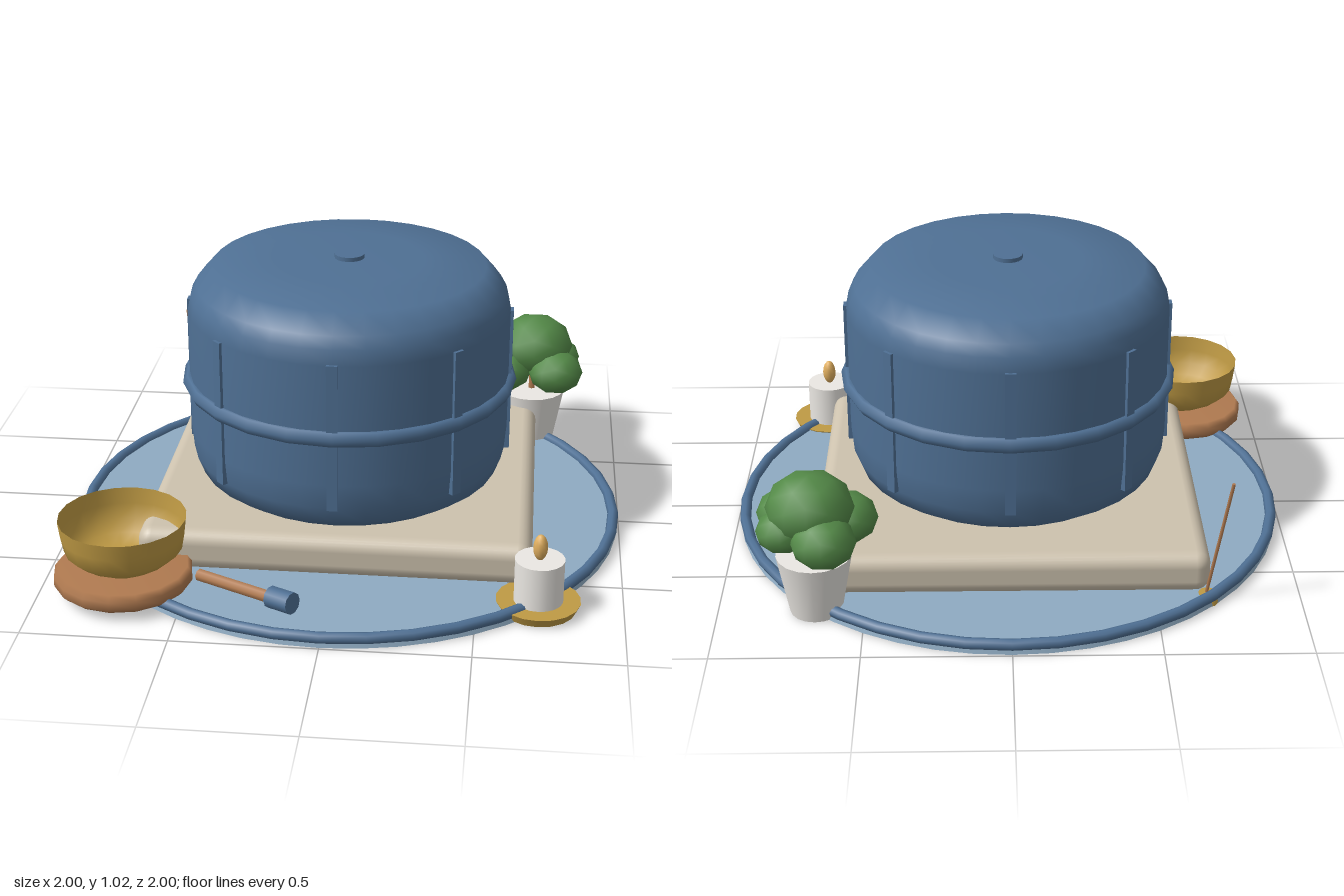
import * as THREE from 'three';
import { RoundedBoxGeometry } from 'three/addons/geometries/RoundedBoxGeometry.js';

const mat = (color, side = THREE.FrontSide) => new THREE.MeshStandardMaterial({ color, side });
const blue = mat(0x4f7094);
const paleBlue = mat(0x8fabc2);
const linen = mat(0xcdc2ae);
const gold = mat(0xbf9a44);
const goldThin = mat(0xbf9a44, THREE.DoubleSide);
const wood = mat(0xb07a50);
const white = mat(0xebe8e3);
const green = mat(0x548a48);
const flameColor = mat(0xe2b060);

export function createModel() {
  const group = new THREE.Group();

  const add = (name, geometry, material, x = 0, y = 0, z = 0) => {
    const mesh = new THREE.Mesh(geometry, material);
    mesh.name = name;
    mesh.position.set(x, y, z);
    group.add(mesh);
    return mesh;
  };
  const lathe = (points, segments) =>
    new THREE.LatheGeometry(points.map(([r, y]) => new THREE.Vector2(r, y)), segments);
  const ring = (R, tube, radial, segments) =>
    new THREE.TorusGeometry(R, tube, radial, segments).rotateX(Math.PI / 2);
  // Cylinder running between two points
  const rod = (name, a, b, r0, r1, sides, material) => {
    const from = new THREE.Vector3(...a), to = new THREE.Vector3(...b);
    const dir = to.clone().sub(from);
    const mid = from.clone().add(to).multiplyScalar(0.5);
    const mesh = add(name, new THREE.CylinderGeometry(r1, r0, dir.length(), sides), material, mid.x, mid.y, mid.z);
    mesh.quaternion.setFromUnitVectors(new THREE.Vector3(0, 1, 0), dir.normalize());
    return mesh;
  };

  // Round mat with piped edge
  add('mat', new THREE.CylinderGeometry(0.985, 0.995, 0.03, 48), paleBlue, 0, 0.015, 0);
  add('matPiping', ring(0.98, 0.02, 8, 40), blue, 0, 0.03, 0);

  // Square floor cushion
  add('floorCushion', new RoundedBoxGeometry(1.37, 0.15, 1.28, 3, 0.05), linen, 0, 0.105, -0.05);

  // Round padded seat
  add('seatCushion', lathe([
    [0, 0.18], [0.48, 0.18], [0.545, 0.225], [0.57, 0.29], [0.578, 0.38],
    [0.578, 0.82], [0.567, 0.875], [0.545, 0.915], [0.487, 0.98], [0.27, 1.0], [0, 1.0],
  ], 32), blue);
  add('seatPiping', ring(0.575, 0.03, 6, 24), blue, 0, 0.558, 0);
  add('topButton', new THREE.CylinderGeometry(0.053, 0.053, 0.03, 16), blue, 0, 1.0, 0);
  for (let i = 0; i < 8; i++) {
    const a = i * Math.PI / 4;
    const rib = add('sideRib', new THREE.BoxGeometry(0.038, 0.535, 0.03), blue,
      Math.sin(a) * 0.572, 0.558, Math.cos(a) * 0.572);
    rib.rotation.y = a;
  }

  // Singing bowl on a wooden base
  add('bowlBase', lathe([
    [0, 0.03], [0.225, 0.03], [0.24, 0.045], [0.24, 0.075], [0.225, 0.095], [0, 0.095],
  ], 16), wood, -0.715, 0, 0.67);
  add('bowl', lathe([
    [0, 0.097], [0.115, 0.1], [0.165, 0.13], [0.203, 0.165], [0.213, 0.22], [0.22, 0.277],
  ], 20), goldThin, -0.71, 0, 0.67);

  // Mallet lying beside the bowl
  rod('malletHandle', [-0.45, 0.065, 0.67], [-0.16, 0.09, 0.85], 0.022, 0.022, 8, wood);
  rod('malletHead', [-0.18, 0.088, 0.832], [-0.1, 0.095, 0.882], 0.038, 0.038, 10, blue);

  // Candle on a dish
  add('candleDish', new THREE.CylinderGeometry(0.145, 0.13, 0.032, 18), gold, 0.71, 0.018, 0.665);
  add('candle', new THREE.CylinderGeometry(0.085, 0.085, 0.16, 18), white, 0.71, 0.11, 0.665);
  add('flame', new THREE.SphereGeometry(0.025, 10, 8).scale(1, 1.9, 1), flameColor, 0.71, 0.233, 0.665);

  // Potted plant
  add('plantPot', new THREE.CylinderGeometry(0.13, 0.09, 0.22, 18), white, 0.665, 0.111, -0.705);
  rod('plantStem', [0.665, 0.2, -0.705], [0.665, 0.36, -0.715], 0.014, 0.012, 6, wood);
  for (const [x, y, z, r] of [
    [0.67, 0.405, -0.715, 0.15], [0.62, 0.335, -0.825, 0.11],
    [0.555, 0.325, -0.645, 0.108], [0.755, 0.33, -0.62, 0.107], [0.76, 0.34, -0.76, 0.09],
  ]) add('foliage', new THREE.IcosahedronGeometry(r, 1).scale(1, 0.8, 1), green, x, y, z);

  // Incense stick in a small holder
  add('incenseHolder', new THREE.CylinderGeometry(0.03, 0.04, 0.036, 10), gold, -0.675, 0.017, -0.68);
  rod('incenseStick', [-0.67, 0.02, -0.675], [-0.735, 0.49, -0.735], 0.006, 0.006, 6, wood);

  return group;
}
